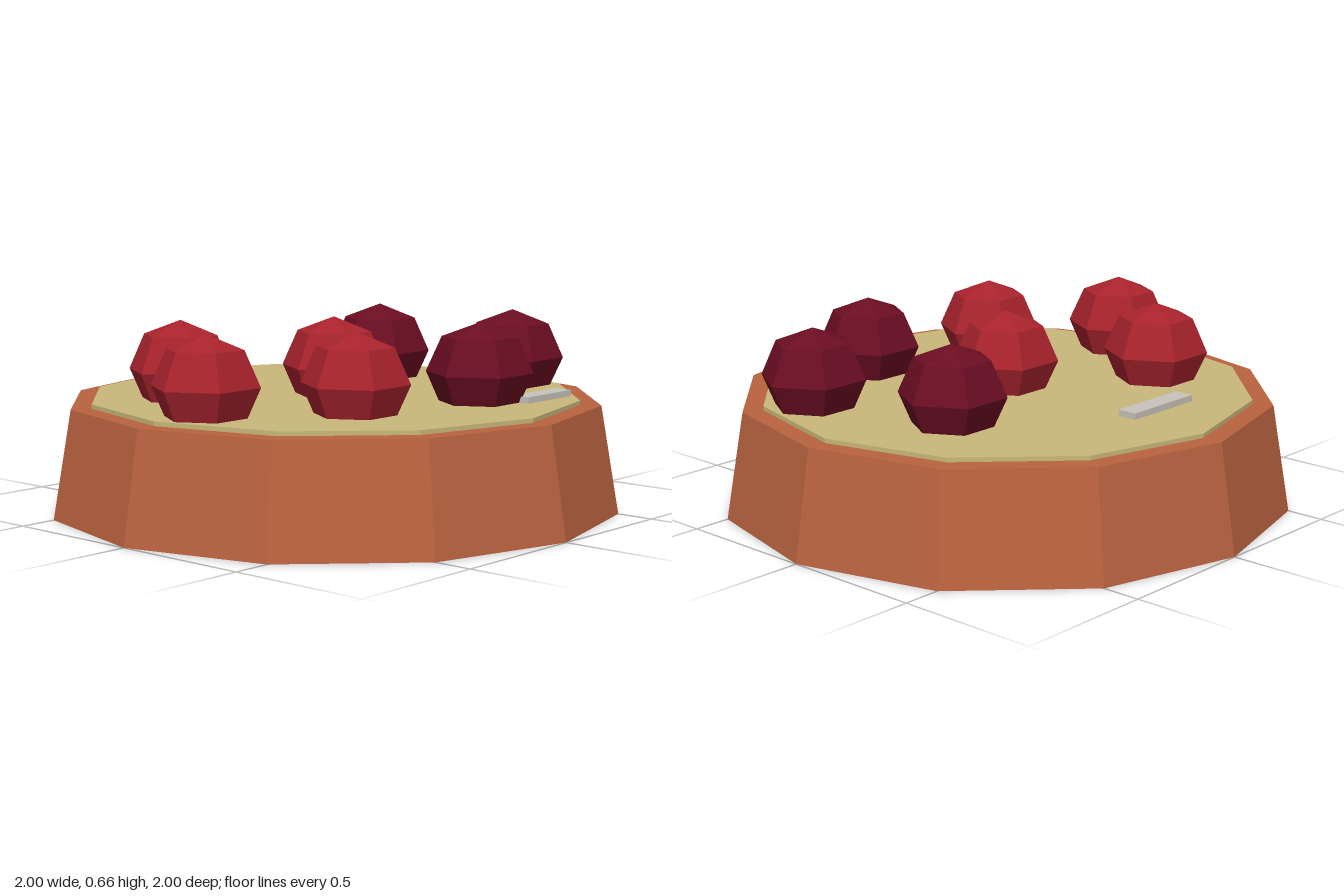
import * as THREE from 'three';

const mat = (name, color) => {
  const m = new THREE.MeshStandardMaterial({ color });
  m.name = name;
  m.flatShading = true;
  return m;
};

export function createModel() {
  const group = new THREE.Group();
  const terracotta = mat('terracotta', 0xb9623f);
  const cream = mat('cream', 0xc9b87a);
  const red = mat('red', 0xa8232d);
  const darkRed = mat('dark red', 0x6b0d22);
  const grey = mat('pale grey', 0xc8c4bc);

  const add = (name, geometry, material, x, y, z) => {
    const mesh = new THREE.Mesh(geometry, material);
    mesh.name = name;
    mesh.position.set(x, y, z);
    group.add(mesh);
    return mesh;
  };

  // Tapered twelve-sided base with a thin filling on top
  add('base', new THREE.CylinderGeometry(0.935, 1, 0.375, 12), terracotta, 0, 0.1875, 0);
  add('filling', new THREE.CylinderGeometry(0.863, 0.863, 0.03, 12), cream, 0, 0.375, 0);

  // Faceted berries, slightly squashed and sunk into the filling
  const berry = new THREE.SphereGeometry(0.185, 6, 4);
  berry.scale(1, 0.925, 1);
  const berries = [
    [0, 0, red], [-0.44, -0.315, red], [-0.69, 0.06, red], [-0.315, 0.375, red],
    [0.185, 0.5, darkRed], [0.625, 0.31, darkRed], [0.47, -0.19, darkRed],
  ];
  berries.forEach(([x, z, m], i) => add(`berry${i + 1}`, berry, m, x, 0.491, z));

  // Flat slivers lying on the filling
  add('backSliver', new THREE.BoxGeometry(0.31, 0.03, 0.07), grey, -0.127, 0.397, -0.567);
  add('frontSliver', new THREE.BoxGeometry(0.25, 0.03, 0.07), grey, 0.375, 0.397, 0.625);

  return group;
}
